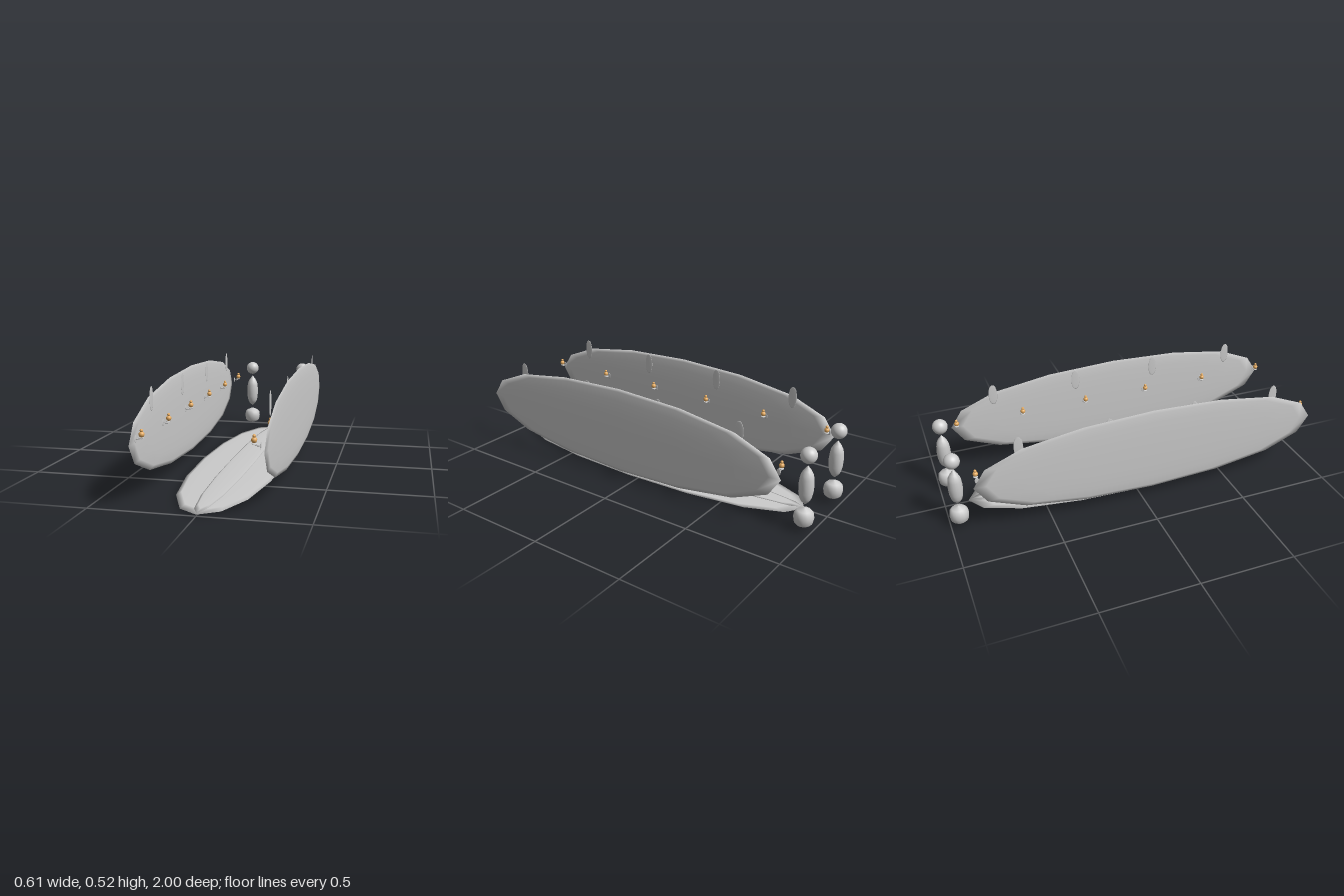
import * as THREE from 'three';
import { mergeVertices } from 'three/addons/utils/BufferGeometryUtils.js';

const grey = new THREE.MeshStandardMaterial({ color: 0xcccccc, side: THREE.DoubleSide });
const amber = new THREE.MeshStandardMaterial({ color: 0xe5ab60 });

// Twice-smoothed cube: each grid point moves to its place by type
// (key and value: distances from the centre, largest first)
const smoothed = {
  '200': [1, 0, 0], '210': [0.933, 0.4, 0], '220': [0.732, 0.732, 0],
  '211': [0.87, 0.372, 0.372], '221': [0.682, 0.682, 0.344], '222': [0.58, 0.58, 0.58],
};
function softBox(hx, hy, hz) {
  let g = new THREE.BoxGeometry(4, 4, 4, 4, 4, 4);
  g.deleteAttribute('uv');
  g.deleteAttribute('normal');
  g = mergeVertices(g);
  const p = g.attributes.position;
  for (let i = 0; i < p.count; i++) {
    const v = [p.getX(i), p.getY(i), p.getZ(i)].map(Math.round);
    const order = [0, 1, 2].sort((a, b) => Math.abs(v[b]) - Math.abs(v[a]));
    const place = smoothed[order.map(k => Math.abs(v[k])).join('')];
    const out = [0, 0, 0];
    order.forEach((k, n) => { out[k] = Math.sign(v[k]) * place[n]; });
    p.setXYZ(i, ...out);
  }
  g.scale(hx, hy, hz);
  g.computeVertexNormals();
  return g;
}

function add(parent, name, geometry, x, y, z, material = grey) {
  const m = new THREE.Mesh(geometry, material);
  m.name = name;
  m.position.set(x, y, z);
  parent.add(m);
  return m;
}

const lathe = pts => new THREE.LatheGeometry(pts.map(p => new THREE.Vector2(...p)), 16);

export function createModel() {
  const model = new THREE.Group();
  model.name = 'hall';
  const midZ = 0.06;

  // Floor with a long runner
  add(model, 'floor', softBox(0.233, 0.006, 0.937), 0, 0.006, midZ);
  add(model, 'runner', softBox(0.07, 0.003, 0.935), 0, 0.0115, midZ);

  // Shared shapes
  const wall = softBox(0.011, 0.234, 0.94);
  const banner = softBox(0.0015, 0.058, 0.024);
  const plate = softBox(0.0015, 0.017, 0.011);
  const arm = softBox(0.014, 0.003, 0.003);
  const dish = new THREE.SphereGeometry(0.012, 16, 8).scale(1, 0.25, 1);
  const flame = new THREE.SphereGeometry(0.013, 16, 12);
  const flameTip = new THREE.SphereGeometry(0.0075, 12, 8);
  const head = new THREE.SphereGeometry(0.04, 32, 20);
  const pedestal = lathe([[0, 0.012], [0.034, 0.025], [0.045, 0.036], [0.05, 0.063],
    [0.046, 0.088], [0.034, 0.101], [0, 0.115]]);
  const body = lathe([[0, 0.13], [0.02, 0.15], [0.029, 0.167], [0.035, 0.195], [0.037, 0.235],
    [0.034, 0.27], [0.03, 0.289], [0.02, 0.309], [0, 0.335]]);

  for (const s of [1, -1]) {
    const side = s > 0 ? 'left' : 'right';
    add(model, side + 'Wall', wall, s * 0.295, 0.289, midZ);

    // Hanging banners
    for (let i = 0; i < 4; i++) {
      add(model, side + 'Banner', banner, s * 0.274, 0.457, -0.64 + i * 0.467);
    }

    // Wall lamps
    for (let i = 0; i < 6; i++) {
      const lamp = new THREE.Group();
      lamp.name = side + 'Lamp';
      lamp.position.z = -0.855 + i * 0.365;
      add(lamp, 'lampPlate', plate, s * 0.274, 0.316, 0);
      add(lamp, 'lampArm', arm, s * 0.261, 0.315, 0);
      add(lamp, 'lampDish', dish, s * 0.247, 0.322, 0);
      add(lamp, 'flame', flame, s * 0.246, 0.338, 0, amber);
      add(lamp, 'flameTip', flameTip, s * 0.246, 0.355, 0, amber);
      model.add(lamp);
    }

    // Statue at the back end
    const statue = new THREE.Group();
    statue.name = side + 'Statue';
    statue.position.set(s * 0.169, 0, -0.95);
    add(statue, 'pedestal', pedestal, 0, 0, 0);
    add(statue, 'statueBody', body, 0, 0, 0);
    add(statue, 'statueHead', head, 0, 0.386, 0);
    model.add(statue);
  }
  return model;
}
